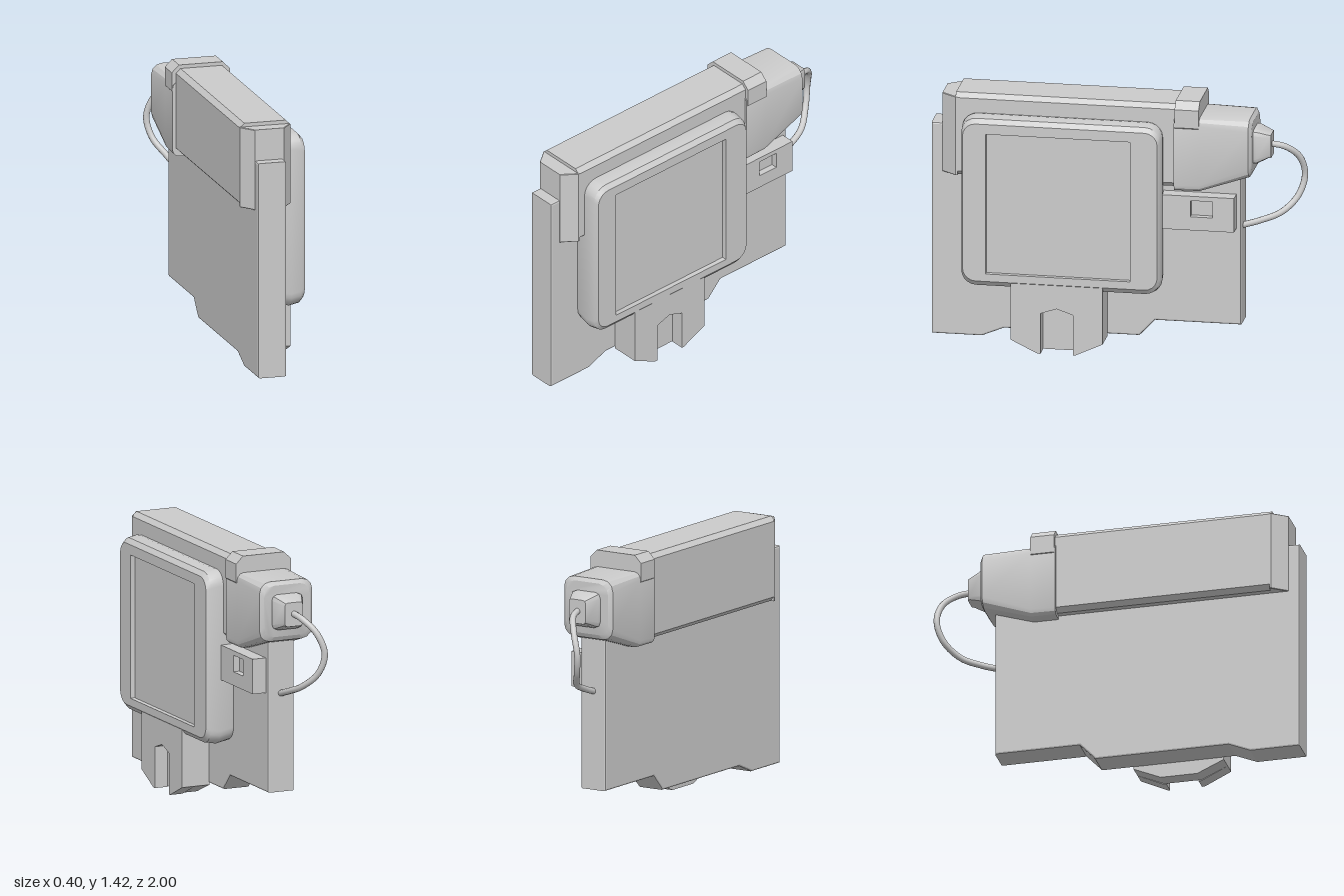
import * as THREE from 'three';
import { toCreasedNormals } from 'three/addons/utils/BufferGeometryUtils.js';

const material = new THREE.MeshStandardMaterial({ color: 0xcccccc });

function part(group, name, geometry) {
  const mesh = new THREE.Mesh(geometry, material);
  mesh.name = name;
  group.add(mesh);
  return mesh;
}

// Loft through rounded rectangles: ring = [depth, u0, u1, v0, v1, cornerRadius].
// One segment per corner gives chamfers, more give rounded corners.
function loft(rings, segments) {
  const loops = rings.map(([w, u0, u1, v0, v1, r]) => {
    const corners = [[u1 - r, v1 - r], [u0 + r, v1 - r], [u0 + r, v0 + r], [u1 - r, v0 + r]];
    const loop = [];
    corners.forEach(([u, v], c) => {
      for (let i = 0; i <= segments; i++) {
        const a = (c + i / segments) * Math.PI / 2;
        loop.push([u + r * Math.cos(a), v + r * Math.sin(a), w]);
      }
    });
    return loop;
  });
  const out = [];
  const tri = (...points) => points.forEach((p) => out.push(...p));
  const n = loops[0].length;
  for (let s = 0; s < loops.length - 1; s++) {
    for (let i = 0; i < n; i++) {
      const j = (i + 1) % n;
      const a = loops[s][i], b = loops[s][j], c = loops[s + 1][j], d = loops[s + 1][i];
      tri(a, b, d);
      tri(b, c, d);
    }
  }
  const first = loops[0], last = loops[loops.length - 1];
  for (let i = 1; i < n - 1; i++) {
    tri(first[0], first[i + 1], first[i]);
    tri(last[0], last[i], last[i + 1]);
  }
  const geometry = new THREE.BufferGeometry();
  geometry.setAttribute('position', new THREE.Float32BufferAttribute(out, 3));
  return toCreasedNormals(geometry, 0.5);
}

// Side profile given as [z, y] points, extruded from x0 to x1.
function sideProfile(points, x0, x1, bevel = 0, hole = null) {
  const toVectors = (list) => list.map(([z, y]) => new THREE.Vector2(-z, y));
  const shape = new THREE.Shape(toVectors(points));
  if (hole) shape.holes.push(new THREE.Path(toVectors(hole)));
  const geometry = new THREE.ExtrudeGeometry(shape, {
    depth: x1 - x0 - 2 * bevel,
    bevelEnabled: bevel > 0,
    bevelThickness: bevel, bevelSize: bevel, bevelOffset: -bevel, bevelSegments: 2,
  });
  return geometry.translate(0, 0, x0 + bevel).rotateY(Math.PI / 2);
}

const rect = (z0, z1, y0, y1) => [[z0, y0], [z1, y0], [z1, y1], [z0, y1]];

export function createModel() {
  const model = new THREE.Group();
  model.name = 'handheldDevice';

  // Flat main plate with a stepped lower edge
  part(model, 'mainPlate', sideProfile([
    [1, 0.03], [0.73, 0.03], [0.61, 0.08], [-0.12, 0.08], [-0.205, 0.17],
    [-0.67, 0.17], [-0.67, 1.21], [1, 1.21],
  ], -0.12, 0.037, 0.01));

  // Upper housing and its tapered front end
  part(model, 'upperHousing', loft([
    [-0.4, -0.18, 0.1, 0.94, 1.4, 0.025],
    [0.86, -0.18, 0.1, 0.94, 1.4, 0.025],
  ], 1));
  part(model, 'housingFront', loft([
    [0.85, -0.18, 0.1, 0.94, 1.38, 0.003],
    [0.86, -0.18, 0.1, 0.94, 1.38, 0.003],
    [0.94, -0.12, 0.04, 0.94, 1.38, 0.003],
  ], 1));

  // Rear grip, narrowing upward towards the back
  part(model, 'rearGrip', loft([
    [-0.735, -0.18, 0.09, 1.03, 1.31, 0.06],
    [-0.72, -0.2, 0.11, 1.005, 1.33, 0.06],
    [-0.455, -0.2, 0.115, 0.92, 1.33, 0.04],
    [-0.32, -0.2, 0.115, 0.92, 1.33, 0.035],
  ], 3));
  part(model, 'collar', loft([
    [-0.455, -0.203, 0.12, 1.24, 1.42, 0.04],
    [-0.325, -0.203, 0.12, 1.24, 1.42, 0.04],
  ], 1));

  // Cable outlet and looping cable
  part(model, 'cableOutlet', loft([
    [-0.825, -0.095, 0.01, 1.1, 1.23, 0.015],
    [-0.815, -0.1, 0.015, 1.1, 1.235, 0.02],
    [-0.75, -0.13, 0.045, 1.07, 1.26, 0.03],
    [-0.72, -0.13, 0.045, 1.07, 1.26, 0.03],
  ], 2));
  const path = new THREE.CatmullRomCurve3([
    [-0.04, 1.17, -0.81], [-0.06, 1.15, -0.89], [-0.112, 1.08, -0.96],
    [-0.148, 0.97, -0.982], [-0.125, 0.86, -0.95], [-0.07, 0.78, -0.87],
    [-0.045, 0.735, -0.76], [-0.04, 0.7, -0.65],
  ].map((p) => new THREE.Vector3(...p)));
  part(model, 'cable', new THREE.TubeGeometry(path, 48, 0.017, 10));

  // Screen case: rounded shell, bezel and recessed panel in one loft
  part(model, 'screen', loft([
    [0.035, -0.81, 0.25, 0.365, 1.285, 0.08],
    [0.06, -0.815, 0.255, 0.36, 1.29, 0.08],
    [0.12, -0.82, 0.26, 0.35, 1.3, 0.08],
    [0.175, -0.815, 0.255, 0.36, 1.29, 0.08],
    [0.197, -0.805, 0.245, 0.388, 1.265, 0.07],
    [0.197, -0.68, 0.1, 0.43, 1.21, 0.002],
    [0.17, -0.68, 0.1, 0.43, 1.21, 0.002],
  ], 5).rotateY(Math.PI / 2));

  // Latch under the screen, with a notch cut into its outer half
  part(model, 'latchBack', sideProfile([
    [0.545, 0.4], [0.545, 0.07], [0.4, 0.005], [0.2, 0.005], [0.05, 0.07], [0.05, 0.4],
  ], 0.035, 0.12));
  part(model, 'latchFront', sideProfile([
    [0.545, 0.4], [0.545, 0.07], [0.4, 0.0], [0.385, 0.0], [0.385, 0.225],
    [0.298, 0.255], [0.21, 0.225], [0.21, 0.0], [0.2, 0.0], [0.05, 0.07], [0.05, 0.4],
  ], 0.12, 0.195));

  // Switch box with a small square recess
  part(model, 'switchBox', sideProfile(
    rect(-0.2, -0.645, 0.71, 0.9), 0.03, 0.115, 0,
    rect(-0.41, -0.53, 0.785, 0.875)));
  part(model, 'switchRecess', sideProfile(rect(-0.4, -0.54, 0.775, 0.885), 0.03, 0.08));

  return model;
}
